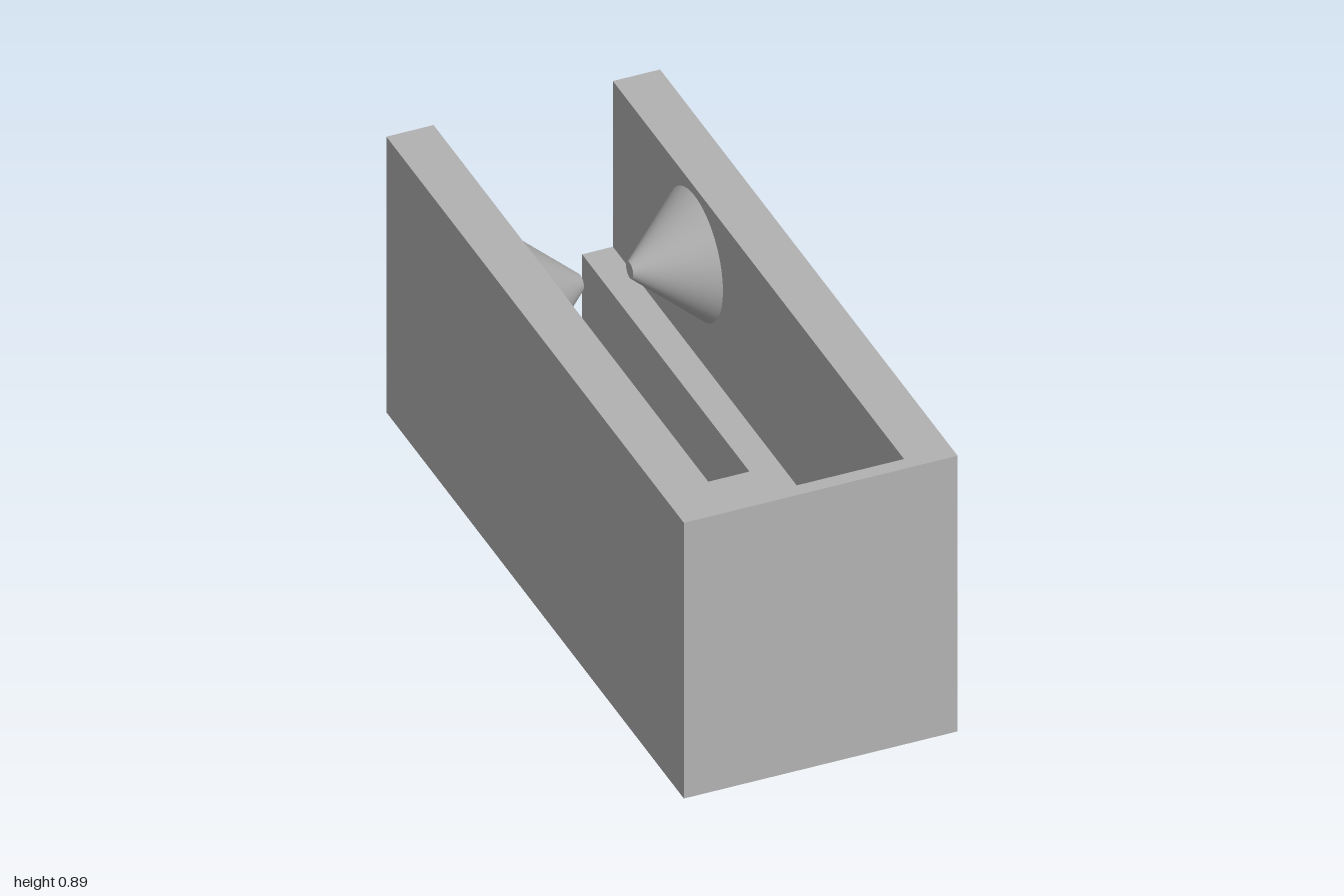
import * as THREE from 'three';

const W = 0.4, H = 0.895;               // half width and height of the block
const INNER = 0.262, INNER_Z = 0.957;   // cavity half width and front wall
const SLOT = 0.172, SLOT_Z = 0.125;     // floor slot half width and end
const FLOOR = 0.357;

// U-shaped outline, open towards the back, as [x, z] pairs
const outline = (w, front, inner, end) => [
  [-w, -1], [-w, front], [w, front], [w, -1],
  [inner, -1], [inner, end], [-inner, end], [-inner, -1],
];

// Flat horizontal face
function face(points, y, up) {
  const s = up ? -1 : 1;
  const shape = new THREE.Shape(points.map(([x, z]) => new THREE.Vector2(x, s * z)));
  return new THREE.ShapeGeometry(shape).rotateX(s * Math.PI / 2).translate(0, y, 0);
}

// Vertical walls along a closed outline
function walls(points, y0, y1) {
  const pos = [];
  points.forEach(([ax, az], i) => {
    const [bx, bz] = points[(i + 1) % points.length];
    pos.push(ax, y0, az, bx, y0, bz, bx, y1, bz);
    pos.push(ax, y0, az, bx, y1, bz, ax, y1, az);
  });
  const g = new THREE.BufferGeometry();
  g.setAttribute('position', new THREE.Float32BufferAttribute(pos, 3));
  g.computeVertexNormals();
  return g;
}

export function createModel() {
  const group = new THREE.Group();
  const grey = new THREE.MeshStandardMaterial({ color: 0xb2b2b2 });
  grey.name = 'grey';
  const add = (name, geometry) => {
    const mesh = new THREE.Mesh(geometry, grey);
    mesh.name = name;
    group.add(mesh);
    return mesh;
  };

  // Housing: slotted base below, open channel above
  const base = outline(W, 1, SLOT, SLOT_Z);
  const channel = outline(W, 1, INNER, INNER_Z);
  add('underside', face(base, 0, false));
  add('baseWalls', walls(base, 0, FLOOR));
  add('floor', face(outline(INNER, INNER_Z, SLOT, SLOT_Z), FLOOR, true));
  add('channelWalls', walls(channel, FLOOR, H));
  add('rim', face(channel, H, true));

  // Pair of blunt cones pointing inwards from the side walls
  const length = 0.19;
  for (const side of [-1, 1]) {
    const cone = add(side > 0 ? 'leftCone' : 'rightCone',
      new THREE.CylinderGeometry(0.024, 0.19, length, 64));
    cone.rotation.z = side * Math.PI / 2;
    cone.position.set(side * (INNER - length / 2), 0.677, -0.45);
  }
  return group;
}
